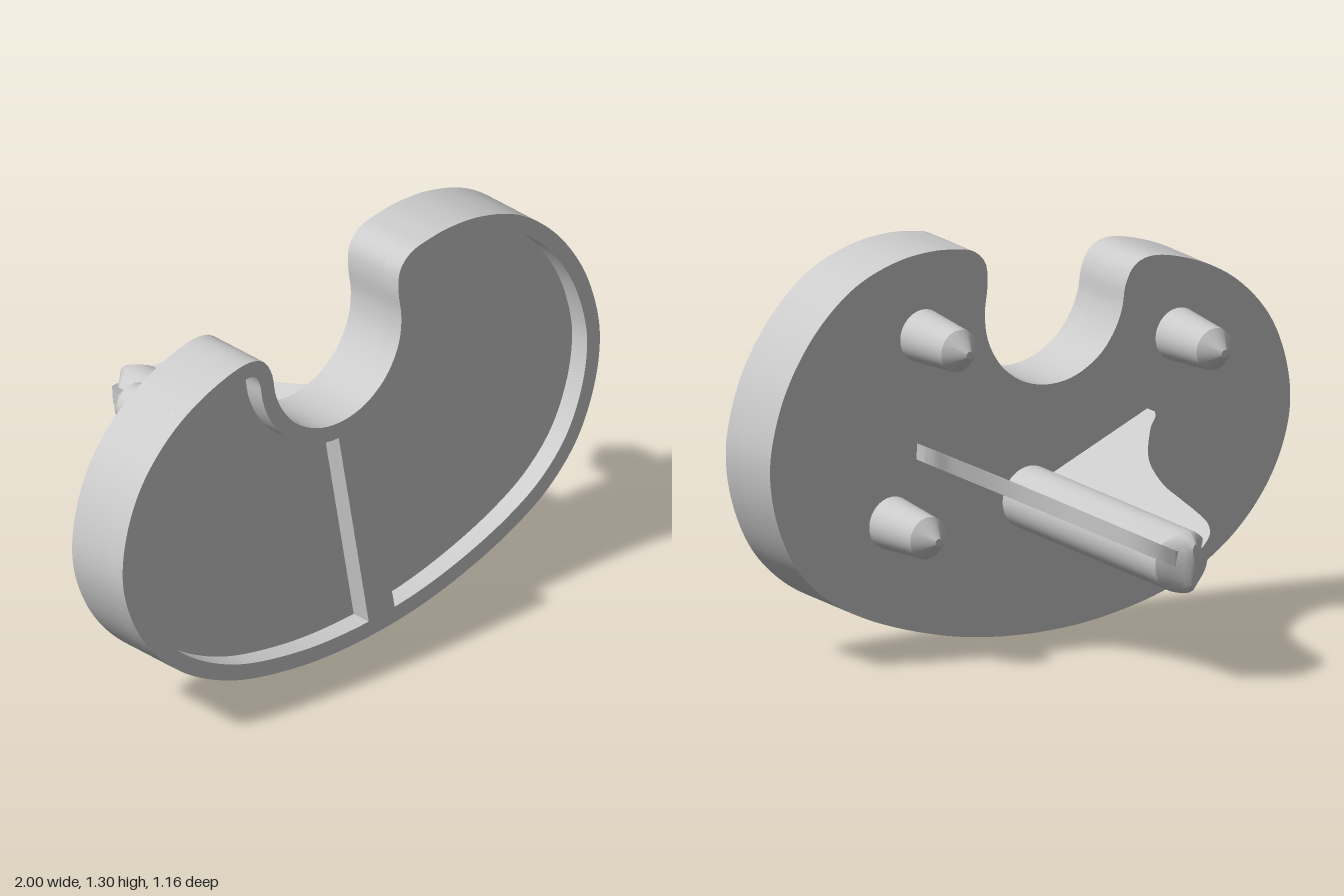
import * as THREE from 'three';
import { toCreasedNormals } from 'three/addons/utils/BufferGeometryUtils.js';

const material = new THREE.MeshStandardMaterial({ color: 0xcccccc });
const THICKNESS = 0.235, POCKET = 0.07, RIM = 0.053, WING = 0.052, WING_SLOPE = 0.46;
const v2 = (p) => new THREE.Vector2(p[0], p[1]);

function addMesh(parent, name, geometry, crease = 0.6) {
  const mesh = new THREE.Mesh(toCreasedNormals(geometry, crease), material);
  mesh.name = name;
  parent.add(mesh);
  return mesh;
}

// Kidney outline, clockwise from the notch's right side
function kidneyOutline() {
  const points = [
    [0.2, 1.08], [0.195, 1.18], [0.208, 1.245], [0.255, 1.287], [0.33, 1.302], [0.41, 1.307],
    [0.54, 1.292], [0.7, 1.23], [0.84, 1.107], [0.945, 0.936], [0.992, 0.77], [0.997, 0.65],
    [0.962, 0.5], [0.88, 0.345], [0.757, 0.228], [0.6, 0.145], [0.38, 0.073], [0.17, 0.032],
    [-0.07, 0.018], [-0.31, 0.037], [-0.58, 0.107], [-0.79, 0.235], [-0.93, 0.41], [-0.99, 0.6],
    [-0.975, 0.76], [-0.9, 0.93], [-0.767, 1.065], [-0.607, 1.148], [-0.43, 1.185], [-0.368, 1.162],
    [-0.338, 1.107], [-0.327, 1.025], [-0.3, 0.955], [-0.25, 0.889], [-0.16, 0.834], [-0.067, 0.818],
    [0.03, 0.836], [0.11, 0.885], [0.157, 0.94], [0.188, 1.005],
  ].map((p) => new THREE.Vector3(p[0], p[1], 0));
  return new THREE.CatmullRomCurve3(points, true).getSpacedPoints(260).slice(0, -1).map((p) => new THREE.Vector2(p.x, p.y));
}

// Move a clockwise loop inward
function inset(loop, distance) {
  const n = loop.length;
  return loop.map((p, i) => {
    const d = loop[(i + 1) % n].clone().sub(loop[(i + n - 1) % n]).normalize();
    return new THREE.Vector2(p.x + d.y * distance, p.y - d.x * distance);
  });
}

// Keep the part of a loop to the left of the line a-b, turned counter-clockwise for use as a hole
function clip(loop, a, b) {
  const side = (p) => (b[0] - a[0]) * (p.y - a[1]) - (b[1] - a[1]) * (p.x - a[0]);
  const out = [];
  loop.forEach((p, i) => {
    const q = loop[(i + 1) % loop.length], sp = side(p), sq = side(q);
    if (sp >= 0) out.push(p);
    if (sp * sq < 0) out.push(p.clone().lerp(q, sp / (sp - sq)));
  });
  return out.reverse();
}

// Solid of revolution pointing out of the back of the plate
function backLathe(profile, segments) {
  return new THREE.LatheGeometry(profile.map(v2), segments).rotateX(-Math.PI / 2);
}

// Swept wing: a flat plan extruded upward, then raised in proportion to its distance from the stem
function wingGeometry(side) {
  const plan = (p) => new THREE.Vector2(side * p[0], p[1]);
  const shape = new THREE.Shape([[0, 0.85], [0, -0.03], [0.44, -0.03], [0.44, 0.04]].map(plan));
  shape.splineThru([
    [0.42, 0.07], [0.37, 0.115], [0.27, 0.25], [0.208, 0.41], [0.18, 0.55], [0.162, 0.65],
    [0.138, 0.75], [0.1, 0.815], [0.05, 0.85],
  ].map(plan));
  const geometry = new THREE.ExtrudeGeometry(shape, { depth: WING, bevelEnabled: false, curveSegments: 6 });
  geometry.translate(0, 0, -WING / 2).rotateX(-Math.PI / 2);
  const pos = geometry.attributes.position;
  for (let i = 0; i < pos.count; i++) pos.setY(i, pos.getY(i) + WING_SLOPE * Math.abs(pos.getX(i)));
  return geometry;
}

export function createModel() {
  const model = new THREE.Group();
  model.name = 'tray';
  // Local frame: back of the plate at z = 0, slightly tilted
  const body = new THREE.Group();
  body.name = 'trayBody';
  body.position.set(0, 0.64, 0.285);
  body.rotation.set(-0.082, 0.03, 0);
  model.add(body);

  // Base plate, then a raised rim with two pockets and a web between
  const outline = kidneyOutline();
  const inner = inset(outline, RIM);
  const base = new THREE.ExtrudeGeometry(new THREE.Shape(outline), { depth: THICKNESS - POCKET, bevelEnabled: false });
  const rimShape = new THREE.Shape(outline);
  rimShape.holes.push(
    new THREE.Path(clip(inner, [-0.008, 0.075], [-0.083, 0.765])),
    new THREE.Path(clip(inner, [0.02, 0.775], [0.1, 0.085])),
  );
  const rim = new THREE.ExtrudeGeometry(rimShape, { depth: POCKET, bevelEnabled: false });
  addMesh(body, 'basePlate', base).position.set(-0.007, -0.659, 0);
  addMesh(body, 'rimAndWeb', rim).position.set(-0.007, -0.659, THICKNESS - POCKET);

  // Four tapered pegs with conical tips
  const pegProfile = [[0.085, -0.01], [0.068, 0.195], [0.012, 0.252], [0, 0.252]];
  for (const [x, y] of [[0.43, 0.38], [0.515, -0.213], [-0.553, 0.26], [-0.477, -0.334]]) {
    addMesh(body, 'peg', backLathe(pegProfile, 40), 0.4).position.set(x, y, 0);
  }

  // Keel: round stem whose end narrows to a vertical ridge
  const keel = new THREE.Group();
  keel.name = 'keel';
  keel.position.set(-0.01, -0.196, 0);
  body.add(keel);
  const stem = backLathe([
    [0.1, -0.01], [0.1, 0.81], [0.098, 0.83], [0.092, 0.85], [0.084, 0.866], [0.072, 0.88], [0, 0.885],
  ], 48);
  const pos = stem.attributes.position;
  for (let i = 0; i < pos.count; i++) {
    const t = Math.max(0, (-pos.getZ(i) - 0.81) / 0.075);
    pos.setX(i, pos.getX(i) * (1 - 0.85 * t));
  }
  addMesh(keel, 'stem', stem);
  addMesh(keel, 'leftWing', wingGeometry(1));
  addMesh(keel, 'rightWing', wingGeometry(-1));
  return model;
}
